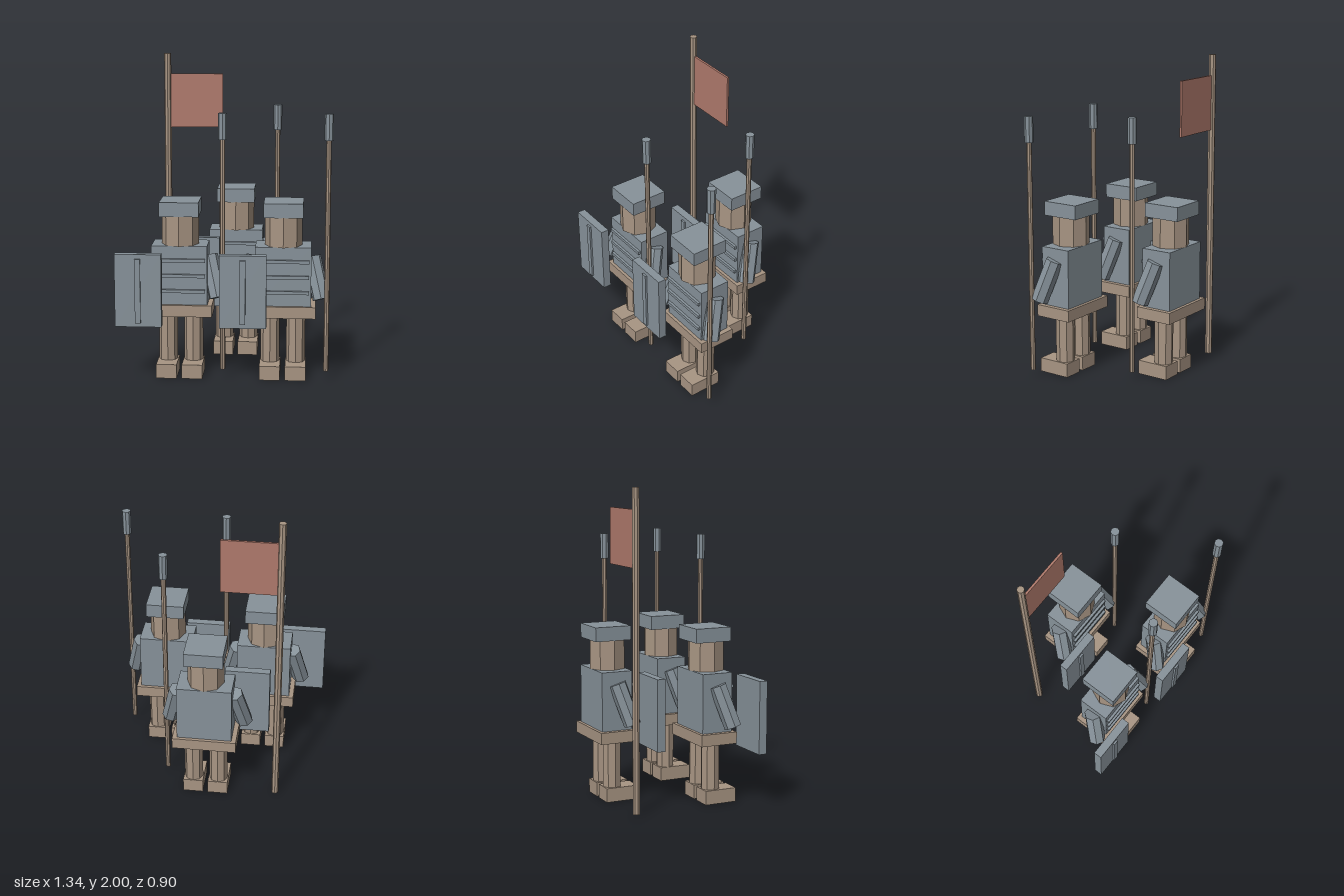
import * as THREE from 'three';

const steel = new THREE.MeshStandardMaterial({ color: 0x87929a });
const tan = new THREE.MeshStandardMaterial({ color: 0xa89583 });
const red = new THREE.MeshStandardMaterial({ color: 0xb07a6c });
steel.name = 'steel';
tan.name = 'tan';
red.name = 'clothRed';
for (const m of [steel, tan, red]) m.flatShading = true;

function add(parent, name, geometry, material, x, y, z) {
  const mesh = new THREE.Mesh(geometry, material);
  mesh.name = name;
  mesh.position.set(x, y, z);
  parent.add(mesh);
  return mesh;
}

const box = (parent, name, mat, w, h, d, x, y, z) =>
  add(parent, name, new THREE.BoxGeometry(w, h, d), mat, x, y, z);

// Upright eight-sided post between two heights
const post = (parent, name, mat, r, y0, y1, x, z) =>
  add(parent, name, new THREE.CylinderGeometry(r, r, y1 - y0, 8), mat, x, (y0 + y1) / 2, z);

function createSoldier() {
  const s = new THREE.Group();
  s.name = 'soldier';

  // Legs, boots and arms on both sides
  for (const side of [-1, 1]) {
    const label = side > 0 ? 'left' : 'right';
    box(s, label + 'Boot', tan, 0.13, 0.09, 0.213, side * 0.081, 0.045, 0.045);
    post(s, label + 'Leg', tan, 0.06, 0.09, 0.394, side * 0.081, 0);

    const shoulder = new THREE.Vector3(side * 0.18, 0.768, 0);
    const hand = new THREE.Vector3(side * 0.24, 0.512, 0.077);
    const axis = shoulder.clone().sub(hand);
    const mid = shoulder.clone().add(hand).multiplyScalar(0.5);
    const arm = add(s, label + 'Arm', new THREE.CylinderGeometry(0.056, 0.056, axis.length(), 7),
      steel, mid.x, mid.y, mid.z);
    arm.quaternion.setFromUnitVectors(new THREE.Vector3(0, 1, 0), axis.normalize());
  }

  // Body with armour bands
  box(s, 'skirt', tan, 0.41, 0.074, 0.246, 0, 0.431, 0);
  box(s, 'torso', steel, 0.35, 0.376, 0.205, 0, 0.656, 0);
  for (const y of [0.557, 0.655, 0.754])
    box(s, 'armourBand', steel, 0.325, 0.021, 0.03, 0, y, 0.104);

  // Head and helmet
  post(s, 'head', tan, 0.117, 0.844, 1.034, 0, 0.008);
  box(s, 'helmet', steel, 0.246, 0.09, 0.242, 0, 1.077, 0);

  // Shield with raised rib
  box(s, 'shield', steel, 0.29, 0.46, 0.053, -0.245, 0.585, 0.204);
  box(s, 'shieldRib', steel, 0.035, 0.405, 0.03, -0.246, 0.584, 0.228);

  // Spear
  post(s, 'spearShaft', tan, 0.016, 0.058, 1.53, 0.273, 0.111);
  post(s, 'spearHead', steel, 0.028, 1.516, 1.678, 0.273, 0.111);
  return s;
}

export function createModel() {
  const model = new THREE.Group();
  model.name = 'soldierSquad';

  // Two soldiers in front, one behind
  for (const [x, z] of [[-0.279, 0.212], [0.37, 0.212], [0.045, -0.326]]) {
    const soldier = createSoldier();
    soldier.position.set(x, 0, z);
    model.add(soldier);
  }

  // Banner
  post(model, 'flagPole', tan, 0.023, 0, 2, -0.411, -0.326);
  box(model, 'flag', red, 0.36, 0.352, 0.014, -0.227, 1.691, -0.326);
  return model;
}
